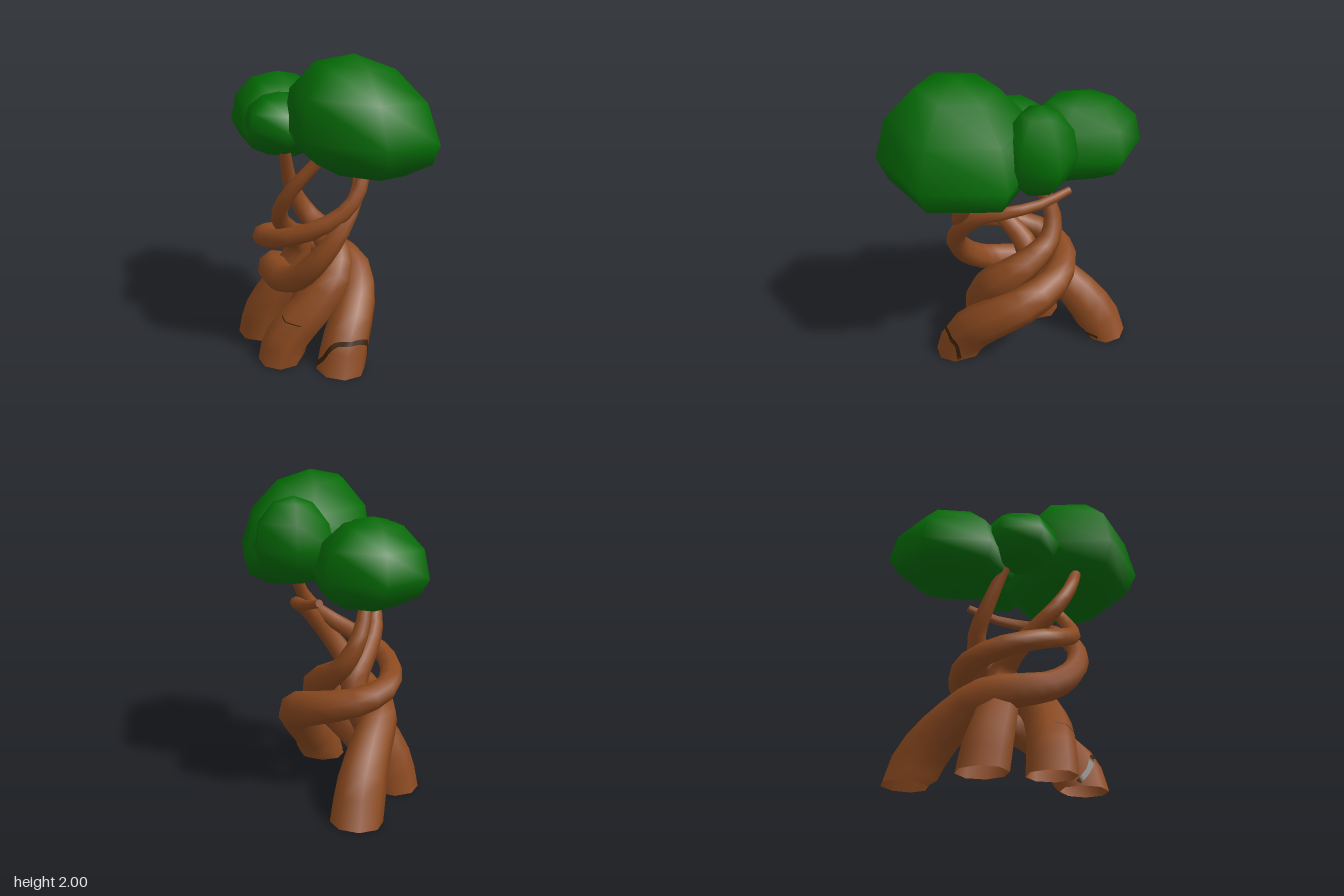
import * as THREE from 'three';
import { mergeGeometries, mergeVertices } from 'three/addons/utils/BufferGeometryUtils.js';

const material = (name, color) => Object.assign(new THREE.MeshStandardMaterial({ color }), { name });
const bark = material('bark brown', 0x8c4a20);
bark.side = THREE.DoubleSide;
const crackBrown = material('crack dark brown', 0x3d2208);
const leaf = material('leaf green', 0x046a05);

const SIDES = 8;

// Tapering eight-sided trunk through [x, y, z, radius] stations, hollow at the foot, closed at the tip
function trunk(name, stations) {
  const curve = new THREE.CatmullRomCurve3(stations.map(([x, y, z]) => new THREE.Vector3(x, y, z)));
  const n = stations.length - 1;
  const steps = n * 2;
  // Plain parameter spacing keeps the rings tied to the stations
  curve.getPointAt = (t, out) => curve.getPoint(t, out);
  curve.getTangentAt = (t, out) => curve.getTangent(t, out);
  const tube = new THREE.TubeGeometry(curve, steps, 1, SIDES, false);
  const pos = tube.attributes.position;
  const v = new THREE.Vector3();
  const c = new THREE.Vector3();
  for (let i = 0; i <= steps; i++) {
    const k = Math.min(Math.floor(i / 2), n - 1);
    const r = THREE.MathUtils.lerp(stations[k][3], stations[k + 1][3], i / 2 - k);
    curve.getPoint(i / steps, c);
    for (let j = 0; j <= SIDES; j++) {
      const id = i * (SIDES + 1) + j;
      v.fromBufferAttribute(pos, id).sub(c).multiplyScalar(r).add(c);
      // Flat foot on the ground
      pos.setXYZ(id, v.x, i === 0 ? 0 : Math.max(v.y, 0.02), v.z);
    }
  }
  // Tip cap as a fan
  const at = (j) => v.fromBufferAttribute(pos, steps * (SIDES + 1) + j).toArray();
  const fan = [];
  for (let j = 1; j < SIDES - 1; j++) fan.push(...at(0), ...at(j + 1), ...at(j));
  const tip = new THREE.BufferGeometry();
  tip.setAttribute('position', new THREE.Float32BufferAttribute(fan, 3));
  tip.computeVertexNormals();
  tube.deleteAttribute('uv');
  const mesh = new THREE.Mesh(mergeGeometries([tube.toNonIndexed(), tip]), bark);
  mesh.name = name;
  mesh.userData.stations = stations;
  return mesh;
}

// Thin dark strip laid on a trunk along [angle in degrees from +x toward +z, height] points
function crack(name, mesh, points, width) {
  const { stations } = mesh.userData;
  const path = new THREE.CatmullRomCurve3(points.map(([a, y]) => new THREE.Vector3(a * Math.PI / 180 * 0.15, y, 0)));
  const steps = 28;
  const onSkin = (u, y) => {
    let k = 0;
    while (stations[k + 1][1] < y) k++;
    const f = (y - stations[k][1]) / (stations[k + 1][1] - stations[k][1]);
    const axis = new THREE.Vector3(
      THREE.MathUtils.lerp(stations[k][0], stations[k + 1][0], f), y,
      THREE.MathUtils.lerp(stations[k][2], stations[k + 1][2], f));
    const out = new THREE.Vector3(Math.cos(u / 0.15), 0, Math.sin(u / 0.15));
    const hit = new THREE.Raycaster(axis, out, 0, 0.4).intersectObject(mesh)[0];
    return axis.addScaledVector(out, (hit ? hit.distance : 0.14) + 0.005);
  };
  const verts = [];
  const index = [];
  for (let i = 0; i <= steps; i++) {
    const p = path.getPoint(i / steps);
    const t = path.getTangent(i / steps);
    for (const s of [-0.5, 0.5]) {
      verts.push(...onSkin(p.x - t.y * width * s, Math.max(p.y + t.x * width * s, 0.005)).toArray());
    }
    if (i < steps) index.push(2 * i, 2 * i + 1, 2 * i + 2, 2 * i + 1, 2 * i + 3, 2 * i + 2);
  }
  const geo = new THREE.BufferGeometry();
  geo.setAttribute('position', new THREE.Float32BufferAttribute(verts, 3));
  geo.setIndex(index);
  geo.computeVertexNormals();
  const strip = new THREE.Mesh(geo, crackBrown);
  strip.name = name;
  return strip;
}

// Six-sided leafy dome: a and b are neighbouring corners of its outline in (x, z);
// tilt raises the front, lean shifts the top in (x, z)
function foliage(name, [cx, cy, cz], a, b, up, down, tilt = 0, lean = [0, 0]) {
  const geo = new THREE.SphereGeometry(1, 6, 6);
  const pos = geo.attributes.position;
  const s = Math.sqrt(0.75);
  const q = [(b[0] - a[0] / 2) / s, (b[1] - a[1] / 2) / s];
  for (let i = 0; i < pos.count; i++) {
    const x = pos.getX(i), y = pos.getY(i), z = pos.getZ(i);
    const dx = x * a[0] + z * q[0];
    const dz = x * a[1] + z * q[1];
    pos.setXYZ(i, cx + dx + y * lean[0], cy + y * (y > 0 ? up : down) + dz * tilt, cz + dz + y * lean[1]);
  }
  geo.deleteAttribute('uv');
  geo.deleteAttribute('normal');
  const smooth = mergeVertices(geo, 1e-4);
  smooth.computeVertexNormals();
  const mesh = new THREE.Mesh(smooth, leaf);
  mesh.name = name;
  return mesh;
}

export function createModel() {
  const tree = new THREE.Group();
  tree.name = 'twistedTree';

  // Four trunks winding round each other
  const backRight = trunk('backRightTrunk', [
    [-0.575, 0, -0.345, 0.16], [-0.51, 0.2, -0.235, 0.15], [-0.42, 0.37, -0.07, 0.13],
    [-0.32, 0.48, 0.1, 0.115], [-0.15, 0.52, 0.23, 0.1], [0, 0.56, 0.29, 0.09],
    [0.15, 0.66, 0.3, 0.08], [0.26, 0.8, 0.26, 0.07], [0.315, 0.94, 0.17, 0.057],
    [0.29, 1.1, 0, 0.048], [0.2, 1.17, -0.15, 0.04], [0, 1.2, -0.25, 0.033], [-0.2, 1.25, -0.3, 0.025],
  ]);
  const frontRight = trunk('frontRightTrunk', [
    [-0.39, 0, 0.175, 0.155], [-0.34, 0.2, 0.16, 0.145], [-0.25, 0.4, 0.11, 0.125],
    [-0.19, 0.55, 0.04, 0.105], [-0.16, 0.68, 0.03, 0.085], [-0.14, 0.79, 0.12, 0.07],
    [-0.08, 0.92, 0.27, 0.058], [0, 1.05, 0.37, 0.05], [0.1, 1.2, 0.38, 0.043], [0.25, 1.41, 0.28, 0.035],
  ]);
  const front = trunk('frontTrunk', [
    [-0.04, 0, 0.35, 0.15], [-0.01, 0.15, 0.31, 0.145], [0.09, 0.35, 0.17, 0.14],
    [0.13, 0.52, 0.03, 0.13], [0.06, 0.64, -0.08, 0.11], [-0.08, 0.73, -0.13, 0.09],
    [-0.21, 0.82, -0.13, 0.07], [-0.275, 0.95, -0.08, 0.057], [-0.265, 1.1, 0, 0.048], [-0.2, 1.38, 0.11, 0.035],
  ]);
  const left = trunk('leftTrunk', [
    [0.34, 0, 0.19, 0.16], [0.315, 0.18, 0.1, 0.15], [0.25, 0.35, -0.07, 0.135],
    [0.11, 0.48, -0.22, 0.125], [-0.13, 0.57, -0.255, 0.105], [-0.34, 0.63, -0.13, 0.09],
    [-0.4, 0.69, 0.06, 0.078], [-0.29, 0.76, 0.23, 0.07], [-0.08, 0.83, 0.33, 0.062],
    [0.17, 0.93, 0.28, 0.057], [0.32, 1.05, 0.15, 0.05], [0.355, 1.18, 0.04, 0.043], [0.31, 1.34, -0.07, 0.035],
  ]);
  tree.add(backRight, frontRight, front, left);

  // Cracks in the bark
  tree.add(
    crack('leftTrunkCrack', left, [[140, 0.02], [105, 0.1], [75, 0.2], [20, 0.205], [-20, 0.16], [-50, 0.04]], 0.026),
    crack('backRightTrunkCrack', backRight, [[40, 0.05], [5, 0.05], [-30, 0.03]], 0.022),
    crack('frontTrunkCrack', front, [[120, 0.32], [85, 0.3], [60, 0.29]], 0.006),
  );

  // Leaf crowns
  tree.add(
    foliage('largeCrown', [0.365, 1.52, 0.06], [0.425, -0.2], [0.4, 0.27], 0.48, 0.25, 0.11, [-0.03, 0.035]),
    foliage('rightCrown', [-0.435, 1.43, -0.12], [0.33, -0.15], [0.355, 0.22], 0.34, 0.2, 0, [-0.03, 0]),
    foliage('backCrown', [0.05, 1.55, -0.285], [0.25, -0.11], [0.19, 0.13], 0.315, 0.22),
    foliage('smallFrontCrown', [-0.15, 1.53, 0.18], [0.225, -0.1], [0.21, 0.165], 0.195, 0.18),
  );
  return tree;
}
